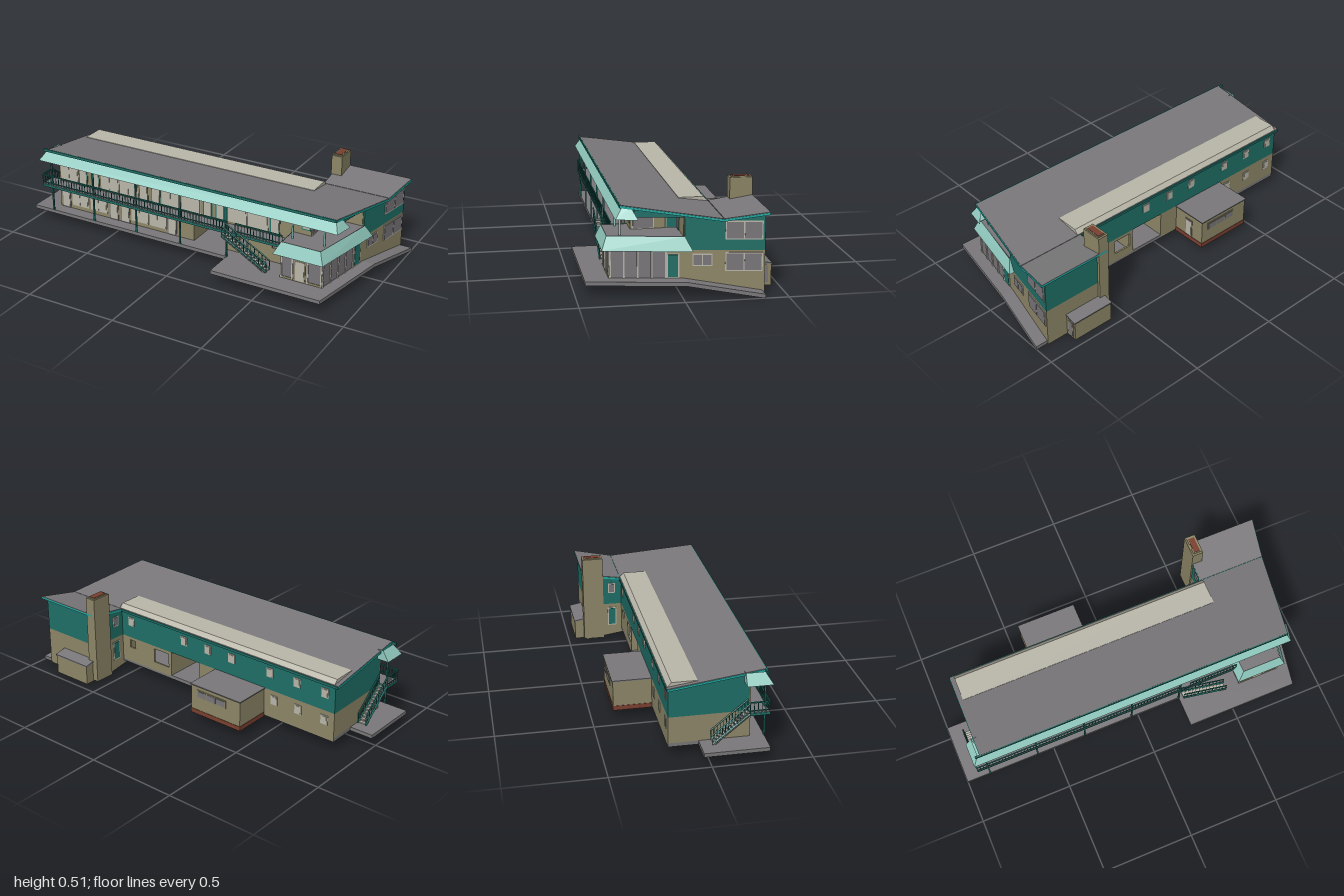
import * as THREE from 'three';
import { mergeGeometries } from 'three/addons/utils/BufferGeometryUtils.js';

const mat = (name, color, side = THREE.FrontSide) => {
  const m = new THREE.MeshStandardMaterial({ color, side });
  m.name = name;
  return m;
};

export function createModel() {
  const root = new THREE.Group();
  root.name = 'motel';
  const grey = mat('roof grey', 0x7a787a), tan = mat('tan wall', 0x8e8768);
  const teal = mat('dark teal', 0x1f6f67), trim = mat('bright teal', 0x22aaa2);
  const aqua = mat('pale aqua', 0x92cbc0, THREE.DoubleSide), cream = mat('cream', 0xbab7aa);
  const glass = mat('glass grey', 0x79767a), brick = mat('brick', 0x7a4030);

  const add = (name, geo, m, parent = root) => {
    const mesh = new THREE.Mesh(geo, m);
    mesh.name = name;
    parent.add(mesh);
    return mesh;
  };
  // box geometry from its limits
  const boxG = (x0, x1, y0, y1, z0, z1) =>
    new THREE.BoxGeometry(x1 - x0, y1 - y0, z1 - z0).translate((x0 + x1) / 2, (y0 + y1) / 2, (z0 + z1) / 2);
  const box = (name, m, ...b) => add(name, boxG(...b), m);
  // straight bar between two points
  const bar = (a, b, t) => {
    const p = new THREE.Vector3(...a), d = new THREE.Vector3(...b).sub(p);
    const g = new THREE.BoxGeometry(t, t, d.length()).translate(0, 0, d.length() / 2);
    g.applyQuaternion(new THREE.Quaternion().setFromUnitVectors(new THREE.Vector3(0, 0, 1), d.normalize()));
    return g.translate(p.x, p.y, p.z);
  };
  // [z, y] profile stretched between two side lines, each a number or a function of z
  const prism = (name, pts, xa, xb, m) => {
    const at = (f, z) => (typeof f === 'number' ? f : f(z));
    const g = new THREE.ExtrudeGeometry(new THREE.Shape(pts.map(([z, y]) => new THREE.Vector2(-z, y))),
      { depth: 1, bevelEnabled: false }).rotateY(Math.PI / 2);
    const p = g.attributes.position;
    for (let i = 0; i < p.count; i++) {
      const z = p.getZ(i);
      p.setX(i, THREE.MathUtils.lerp(at(xa, z), at(xb, z), p.getX(i)));
    }
    g.computeVertexNormals();
    return add(name, g, m);
  };
  // [x, z] outline raised from y0 to y1
  const plan = (name, pts, y0, y1, m) =>
    add(name, new THREE.ExtrudeGeometry(new THREE.Shape(pts.map(([x, z]) => new THREE.Vector2(x, -z))),
      { depth: y1 - y0, bevelEnabled: false }).rotateX(-Math.PI / 2).translate(0, y0, 0), m);
  // sloping band between two [x, z] paths
  const skirt = (name, low, high, y0, y1) => {
    const v = [];
    for (let i = 0; i + 1 < low.length; i++) {
      const a = [low[i][0], y0, low[i][1]], b = [low[i + 1][0], y0, low[i + 1][1]];
      const c = [high[i + 1][0], y1, high[i + 1][1]], d = [high[i][0], y1, high[i][1]];
      v.push(...a, ...b, ...c, ...a, ...c, ...d);
    }
    const g = new THREE.BufferGeometry();
    g.setAttribute('position', new THREE.Float32BufferAttribute(v, 3));
    g.computeVertexNormals();
    add(name, g, aqua);
  };
  // framed window or door on a wall; turn is the wall's heading
  const opening = (name, x, y, z, w, h, turn, frame, pane, n = 1) => {
    const o = new THREE.Group();
    o.name = name;
    o.position.set(x, y, z);
    o.rotation.y = turn;
    add('frame', new THREE.BoxGeometry(w, h, 0.006), frame, o);
    const e = 0.006, pw = (w - e * (n + 1)) / n;
    for (let i = 0; i < n; i++)
      add('pane', new THREE.BoxGeometry(pw, h - 2 * e, 0.01).translate(-w / 2 + e + pw / 2 + i * (pw + e), 0, 0), pane, o);
    root.add(o);
  };

  const wallX = z => 0.865 - 0.18 * z;   // slanted right wall
  const pathX = z => 0.933 - 0.18 * z;   // outer edge of the right walk
  const eaveX = z => 0.897 - 0.17 * z;   // right roof edge
  const roofY = z => 0.375 + (z > -0.195 ? (z + 0.195) * 0.1354 : (-0.195 - z) * 0.153);
  const under = z => [z, roofY(z) - 0.008];
  const rightTurn = Math.atan2(1, 0.18);

  // ground slab and sloping side walk
  plan('groundSlab', [[-1, 0.285], [0.235, 0.285], [0.235, 0.455], [0.85, 0.455], [pathX(-0.02), -0.02],
    [wallX(-0.02), -0.02], [0.86, -0.19], [-0.87, -0.19], [-0.87, -0.04], [-1, -0.04]], 0.057, 0.077, grey);
  prism('sideRamp', [[-0.02, 0.057], [-0.02, 0.077], [-0.385, 0.02], [-0.385, 0]], z => wallX(z) - 0.03, pathX, grey);

  // ground floor, with an open passage and a hollow room beside it
  box('lowerLeftBlock', tan, -0.87, 0, 0.06, 0.217, -0.19, 0.215);
  const holes = [[0.22, 0.325, 0.12, 0.2], [0.465, 0.505, 0.155, 0.2]];
  for (const z of [-0.19, 0.205]) {
    const rect = (x0, x1, y0, y1, S) => new S([[x0, y0], [x1, y0], [x1, y1], [x0, y1]].map(p => new THREE.Vector2(...p)));
    const s = rect(0.2, 0.56, 0.07, 0.217, THREE.Shape);
    s.holes = holes.map(h => rect(...h, THREE.Path));
    add('roomWall', new THREE.ExtrudeGeometry(s, { depth: 0.01, bevelEnabled: false }).translate(0, 0, z), tan);
  }
  box('passageWall', tan, 0.2, 0.21, 0.07, 0.217, -0.185, 0.21);
  prism('lowerRightBlock', [[0.06, 0.06], [0.06, 0.217], [-0.395, 0.217], [-0.395, 0.003], [-0.02, 0.06]], 0.56, wallX, tan);

  // upper floor
  prism('upperMainBlock', [[0.211, 0.217], under(0.211), under(-0.19), [-0.19, 0.217]], -0.87, 0.68, teal);
  prism('upperRightBlock', [[-0.02, 0.217], under(-0.02), under(-0.195), under(-0.395), [-0.395, 0.217]], 0.56, wallX, teal);
  prism('porchHead', [[0.215, 0.375], under(0.215), under(-0.02), [-0.02, 0.375]], 0.68, wallX, teal);
  box('upperFrontWall', tan, -0.87, 0.684, 0.217, 0.4, 0.209, 0.215);
  box('porchSideWall', tan, 0.678, 0.684, 0.28, 0.376, -0.02, 0.215);
  box('porchBackWall', tan, 0.68, 0.86, 0.28, 0.376, -0.022, -0.016);

  // butterfly roof with bright edge
  const roofStrip = (name, za, zb, xa) => {
    const band = (lo, hi, a, b) => [[a, roofY(a) + lo], [a, roofY(a) + hi], [b, roofY(b) + hi], [b, roofY(b) + lo]];
    prism(name + 'Edge', band(-0.012, -0.001, za, zb), xa, eaveX, trim);
    prism(name + 'Top', band(-0.001, 0.002, za - 0.003, zb), xa + 0.003, z => eaveX(z) - 0.003, grey);
  };
  roofStrip('mainRoof', 0.285, -0.195, -0.89);
  roofStrip('wingRoof', -0.195, -0.41, 0.555);
  box('rearEave', teal, -0.885, 0.56, 0.362, 0.375, -0.2, -0.19);
  box('frontEave', teal, -0.915, 0.845, 0.427, 0.441, 0.278, 0.288);
  prism('roofPanel', [[-0.045, 0.385], [-0.045, 0.4], [-0.172, 0.4], [-0.193, 0.378], [-0.193, 0.37]], -0.865, 0.57, cream);

  // front awning and its soffit
  skirt('frontAwning', [[-0.87, 0.18], [-0.935, 0.18], [-0.935, 0.31], [0.865, 0.31], [0.885, 0.205]],
    [[-0.87, 0.18], [-0.9, 0.18], [-0.9, 0.275], [0.84, 0.275], [0.85, 0.235]], 0.376, 0.432);
  plan('awningSoffit', [[-0.93, 0.185], [-0.93, 0.305], [0.86, 0.305], [0.875, 0.22], [-0.87, 0.22], [-0.87, 0.185]], 0.375, 0.379, aqua);

  // glazed lobby with skirt roof and deck
  plan('lobbyGlass', [[0.575, 0.335], [wallX(0.335), 0.335], [wallX(0.06), 0.06], [0.575, 0.06]], 0.077, 0.217, glass);
  for (const z of [0.068, 0.135, 0.2, 0.265, 0.33])
    box('lobbyMullion', cream, wallX(z) - 0.006, wallX(z) + 0.005, 0.077, 0.217, z - 0.004, z + 0.004);
  for (const x of [0.579, 0.64, 0.725, 0.8]) box('lobbyMullion', cream, x - 0.004, x + 0.004, 0.077, 0.217, 0.33, 0.339);
  box('lobbySill', tan, 0.573, 0.807, 0.077, 0.088, 0.33, 0.338);
  opening('lobbyDoor', 0.683, 0.137, 0.336, 0.06, 0.12, 0, tan, cream);
  skirt('lobbySkirt', [[0.545, 0.2], [0.545, 0.37], [0.82, 0.37], [0.905, -0.055], [0.87, -0.055]],
    [[0.58, 0.2], [0.58, 0.345], [0.795, 0.345], [0.873, -0.02], [0.86, -0.02]], 0.217, 0.283);
  plan('lobbySoffit', [[0.55, 0.21], [0.55, 0.367], [0.818, 0.367], [0.9, -0.05], [0.86, -0.05], [0.84, 0.21]], 0.214, 0.219, aqua);
  plan('lobbyDeck', [[0.58, 0.21], [0.58, 0.343], [0.795, 0.343], [0.868, -0.02], [0.684, -0.02], [0.684, 0.21]], 0.274, 0.28, grey);

  // balcony, posts and railing
  box('balconyEdge', teal, -0.93, 0.56, 0.217, 0.23, 0.2, 0.297);
  box('balconyFloor', grey, -0.928, 0.56, 0.23, 0.233, 0.2, 0.295);
  for (const x of [-0.87, -0.595, -0.32, -0.045, 0.235]) box('post', teal, x - 0.004, x + 0.004, 0.077, 0.378, 0.281, 0.289);
  for (const x of [0.61, 0.785]) box('porchPost', aqua, x - 0.004, x + 0.004, 0.28, 0.378, 0.276, 0.284);
  const railing = (name, a, b, n, parent = root) => {
    const up = (p, h) => [p[0], p[1] + h, p[2]];
    const parts = [bar(up(a, 0.055), up(b, 0.055), 0.006), bar(up(a, 0.012), up(b, 0.012), 0.004)];
    for (let i = 0; i <= n; i++) {
      const p = a.map((v, k) => v + (b[k] - v) * i / n);
      parts.push(bar(up(p, 0), up(p, 0.055), 0.003));
    }
    add(name, mergeGeometries(parts), teal, parent);
  };
  railing('frontRailLeft', [-0.928, 0.232, 0.294], [0.235, 0.232, 0.294], 66);
  railing('frontRailRight', [0.29, 0.232, 0.294], [0.56, 0.232, 0.294], 15);
  railing('endRail', [-0.928, 0.232, 0.294], [-0.928, 0.232, 0.2], 5);

  // stairs descending along local +x
  const stairs = (name, x, z, turn, run, width) => {
    const s = new THREE.Group(), n = 12, y0 = 0.225, y1 = 0.077, w = width / 2;
    s.name = name;
    for (let i = 0; i < n; i++) {
      const y = y0 + (y1 - y0) * (i + 0.5) / n;
      add('tread', boxG(run * i / n, run * (i + 0.9) / n, y - 0.003, y + 0.003, -w, w), cream, s);
    }
    const tilt = Math.atan2(y1 - y0, run), len = Math.hypot(run, y0 - y1);
    const soffit = add('soffit', new THREE.BoxGeometry(len, 0.004, width), grey, s);
    soffit.position.set(run / 2, (y0 + y1) / 2 - 0.01, 0);
    soffit.rotation.z = tilt;
    for (const k of [-w, w]) {
      add('stringer', bar([0, y0, k], [run, y1 + 0.004, k], 0.008), teal, s);
      railing('stairRail', [0, y0, k], [run, y1, k], 12, s);
    }
    s.position.set(x, 0, z);
    s.rotation.y = turn;
    root.add(s);
  };
  stairs('frontStairs', 0.235, 0.32, 0, 0.26, 0.038);
  stairs('endStairs', -0.9, 0.2, Math.PI / 2, 0.18, 0.046);

  // guest room doors and windows along the front
  for (const x of [-0.707, -0.627, -0.313, -0.235, 0.085, 0.16, 0.48])
    opening('upperDoor', x, 0.291, 0.215, 0.056, 0.115, 0, teal, cream);
  for (const x of [-0.8, -0.53, -0.408, -0.14, -0.015, 0.258, 0.383])
    opening('upperWindow', x, 0.3, 0.215, 0.118, 0.105, 0, cream, cream, 2);
  for (const x of [-0.83, -0.51, -0.435, -0.135])
    opening('lowerDoor', x, 0.135, 0.215, 0.056, 0.115, 0, glass, cream);
  for (const x of [-0.735, -0.61, -0.34, -0.225])
    opening('lowerWindow', x, 0.15, 0.215, 0.11, 0.1, 0, cream, cream, 2);
  opening('porchWindow', 0.655, 0.333, 0.215, 0.05, 0.05, 0, teal, cream);

  // right side openings
  for (const y of [0.316, 0.161]) opening('cornerWindow', wallX(-0.297), y, -0.297, 0.178, 0.092, rightTurn, cream, glass, 2);
  opening('smallWindow', wallX(-0.103), 0.169, -0.103, 0.096, 0.062, rightTurn, cream, glass, 2);
  opening('sideDoor', wallX(0.034), 0.139, 0.034, 0.06, 0.122, rightTurn, cream, teal);
  opening('deckWindow', 0.684, 0.318, 0.152, 0.11, 0.08, Math.PI / 2, cream, glass);
  opening('deckDoor', 0.684, 0.317, 0.012, 0.058, 0.08, Math.PI / 2, cream, teal);
  opening('deckBackDoor', 0.72, 0.32, -0.016, 0.055, 0.08, 0, teal, glass);

  // rear windows
  for (const x of [0.49, 0.106, -0.06, -0.22, -0.47, -0.64, -0.81])
    opening('rearWindow', x, 0.315, -0.19, 0.042, 0.052, Math.PI, cream, cream);
  for (const x of [-0.5, -0.65, -0.81]) opening('rearLowerWindow', x, 0.165, -0.19, 0.042, 0.052, Math.PI, cream, cream);
  opening('wingWindow', 0.56, 0.315, -0.245, 0.042, 0.06, -Math.PI / 2, cream, glass);
  opening('wingDoor', 0.56, 0.14, -0.245, 0.05, 0.11, -Math.PI / 2, cream, teal);

  // rear annex
  box('annexWalls', tan, -0.435, -0.115, 0.07, 0.212, -0.39, -0.19);
  box('annexBase', brick, -0.437, -0.113, 0.05, 0.075, -0.392, -0.19);
  box('annexRoof', grey, -0.44, -0.11, 0.212, 0.218, -0.395, -0.19);
  opening('annexWindow', -0.25, 0.17, -0.39, 0.19, 0.045, Math.PI, tan, glass, 3);
  opening('annexDoor', -0.115, 0.13, -0.29, 0.05, 0.105, Math.PI / 2, glass, cream);

  // cellar entry behind the wing
  prism('cellarEntry', [[-0.38, 0.005], [-0.38, 0.126], [-0.46, 0.11], [-0.46, 0.003]], 0.585, 0.815, tan);
  prism('cellarRoof', [[-0.39, 0.124], [-0.39, 0.13], [-0.464, 0.116], [-0.464, 0.109]], 0.58, 0.82, grey);
  opening('cellarDoor', 0.815, 0.062, -0.428, 0.042, 0.096, Math.PI / 2, tan, glass);

  // chimney
  box('chimney', tan, 0.552, 0.612, 0.01, 0.5, -0.41, -0.295);
  box('chimneyCap', tan, 0.56, 0.606, 0.5, 0.504, -0.4, -0.305);
  box('chimneyFlue', brick, 0.566, 0.6, 0.503, 0.506, -0.394, -0.311);
  return root;
}
